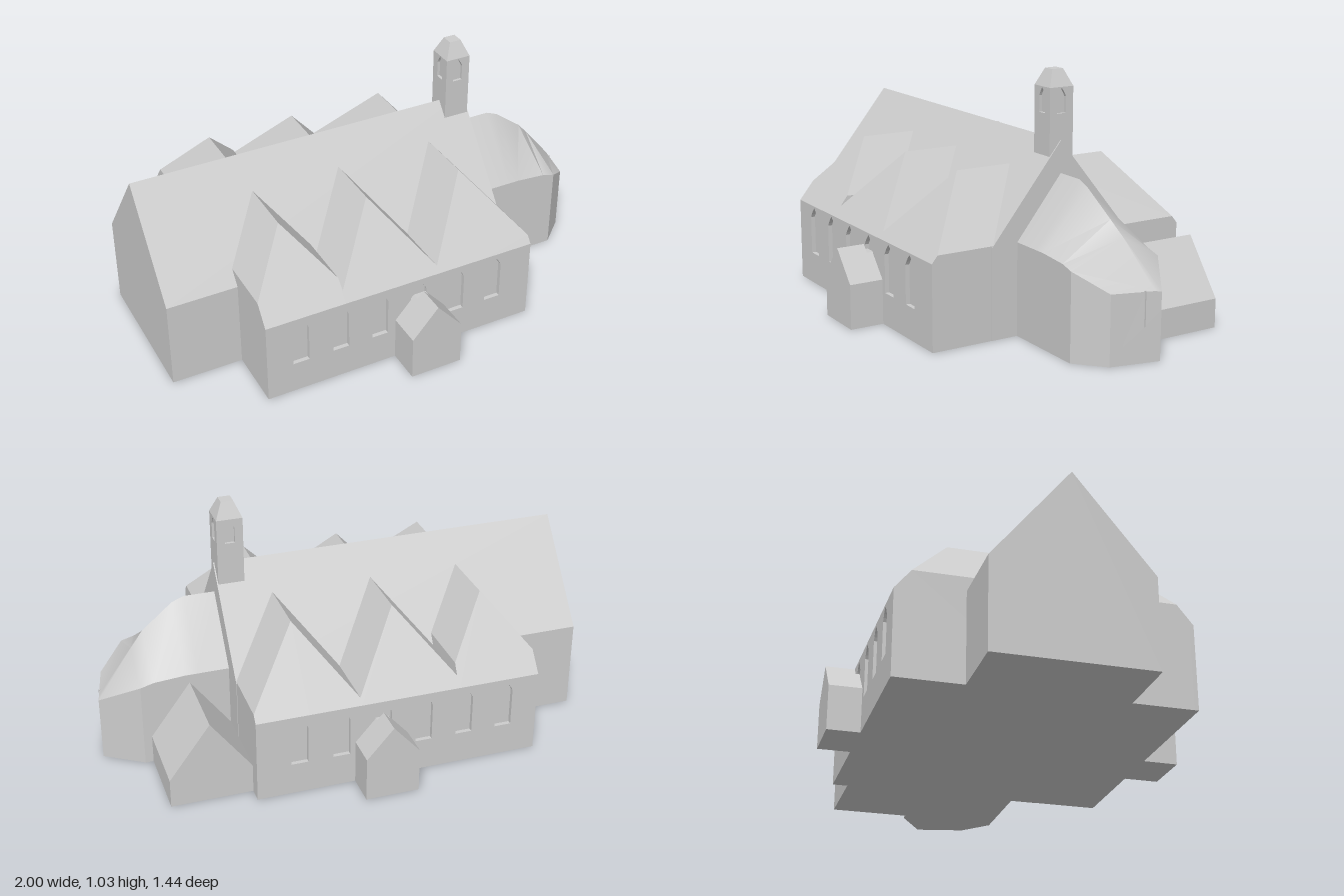
import * as THREE from 'three';
import { toCreasedNormals } from 'three/addons/utils/BufferGeometryUtils.js';

// Skin a list of equal-length loops of [x, y, z], running towards +x, and cap both ends.
function loft(sections, crease = 0.01) {
  const pos = [];
  const tri = (a, b, c) => pos.push(...a, ...b, ...c);
  const n = sections[0].length;
  for (let i = 0; i < sections.length - 1; i++) {
    const s = sections[i], t = sections[i + 1];
    for (let j = 0; j < n; j++) {
      const k = (j + 1) % n;
      tri(s[j], t[j], t[k]);
      tri(s[j], t[k], s[k]);
    }
  }
  const first = sections[0], last = sections[sections.length - 1];
  for (let j = 1; j < n - 1; j++) {
    tri(first[0], first[j], first[j + 1]);
    tri(last[0], last[j + 1], last[j]);
  }
  const g = new THREE.BufferGeometry();
  g.setAttribute('position', new THREE.Float32BufferAttribute(pos, 3));
  return toCreasedNormals(g, crease);
}

const polygon = pts => new THREE.Shape(pts.map(p => new THREE.Vector2(...p)));

function extrude(shape, z0, z1) {
  return new THREE.ExtrudeGeometry(shape, { depth: z1 - z0, bevelEnabled: false, curveSegments: 4 })
    .translate(0, 0, z0);
}

// Gabled outline, with the peak cut off at height cut
function gable(cx, half, eave, ridge, cut = ridge) {
  const t = half * (ridge - cut) / (ridge - eave);
  const top = t > 0 ? [[cx + t, cut], [cx - t, cut]] : [[cx, ridge]];
  return polygon([[cx - half, 0], [cx + half, 0], [cx + half, eave], ...top, [cx - half, eave]]);
}

// Pointed-arch opening
function lancet(cx, half, bottom, shoulder, peak) {
  const p = new THREE.Path();
  const mid = (shoulder + peak) / 2 + (peak - shoulder) * 0.08;
  p.moveTo(cx - half, bottom);
  p.lineTo(cx + half, bottom);
  p.lineTo(cx + half, shoulder);
  p.quadraticCurveTo(cx + half * 0.62, mid, cx, peak);
  p.quadraticCurveTo(cx - half * 0.62, mid, cx - half, shoulder);
  p.closePath();
  return p;
}

export function createModel() {
  const model = new THREE.Group();
  model.name = 'church';
  const stone = new THREE.MeshStandardMaterial({ color: 0xcccccc });
  stone.name = 'pale grey stone';
  const add = (name, geometry, parent = model) => {
    const m = new THREE.Mesh(geometry, stone);
    m.name = name;
    parent.add(m);
    return m;
  };

  // Nave with a steep roof
  const RIDGE = 0.76, PITCH = 1.23;
  const naveAt = x => [[x, 0, 0.315], [x, 0.372, 0.315], [x, RIDGE, 0], [x, 0.372, -0.315], [x, 0, -0.315]];
  add('nave', loft([naveAt(-1), naveAt(0.482)]));

  // Aisles with three hipped cross gables, a window wall and a porch on each side
  const X0 = -0.705, X1 = 0.48, EAVE = 0.35;
  const zigzag = [[X0, 0.43], [-0.535, 0.64], [-0.365, 0.43], [-0.362, 0.39],
    [-0.155, 0.64], [0.05, 0.375], [0.265, 0.64], [X1, 0.38]];
  for (const side of [1, -1]) {
    const label = side > 0 ? 'front' : 'back';
    const outer = side > 0 ? 0.577 : 0.587;
    const inner = outer - 0.018;

    const sections = zigzag.map(([x, y]) => {
      const loop = [[0, 0], [0, inner], [EAVE, inner], [EAVE, outer],
        [y, outer - (y - EAVE) / PITCH], [y, 0]].map(([h, z]) => [x, h, z * side]);
      return side > 0 ? loop : [loop[0], ...loop.slice(1).reverse()];
    });
    add(label + 'Aisle', loft(sections));

    const wall = polygon([[X0, 0], [X1, 0], [X1, EAVE], [X0, EAVE]]);
    for (let i = 0; i < 6; i++) {
      wall.holes.push(lancet(-0.56 + i * 0.173, 0.035, 0.135, 0.295, 0.342));
    }
    const span = (a, b) => side > 0 ? [a, b] : [-b, -a];
    add(label + 'WindowWall', extrude(wall, ...span(inner, outer)));

    add(label + 'Porch', extrude(gable(-0.035, 0.11, 0.185, 0.31), ...span(0.602, 0.72)));
    add(label + 'PorchNeck', extrude(gable(-0.035, 0.11, 0.185, 0.31, 0.28), ...span(outer - 0.005, 0.602)));
  }

  // Chancel ending in a skewed, sloping apse
  const chancelAt = (x, eave, ridge, zr) =>
    [[x, 0, 0.2], [x, eave, 0.2], [x, ridge, zr], [x, eave, -0.2], [x, 0, -0.2]];
  add('chancel', loft([
    chancelAt(0.47, 0.38, 0.63, 0),
    chancelAt(0.61, 0.38, 0.63, 0),
    chancelAt(0.66, 0.38, 0.61, 0),
    chancelAt(0.79, 0.37, 0.51, -0.015),
    chancelAt(0.845, 0.355, 0.45, -0.035),
    [[0.955, 0, 0.1], [0.955, 0.28, 0.1], [0.994, 0.275, -0.075], [1, 0.27, -0.1], [1, 0, -0.1]],
  ], 0.55));

  // Narrow slit on the end wall of the apse
  const slit = add('apseSlit', new THREE.BoxGeometry(0.006, 0.14, 0.006));
  slit.position.set(0.984, 0.21, -0.035);
  slit.rotation.y = 0.22;

  // Low gabled vestry behind the chancel
  add('vestry', extrude(gable(0.645, 0.167, 0.12, 0.345), -0.525, -0.1));

  // Bell tower with a recessed opening on each face and a blunt cap
  const tower = new THREE.Group();
  tower.name = 'bellTower';
  tower.position.set(0.423, 0, -0.004);
  model.add(tower);
  const H = 0.054, T = 0.012, BASE = 0.5, TOP = 0.968;
  add('towerCore', new THREE.BoxGeometry(2 * (H - T), TOP - BASE, 2 * (H - T))
    .translate(0, (TOP + BASE) / 2, 0), tower);
  for (let i = 0; i < 4; i++) {
    const w = i % 2 ? H - T : H;
    const face = polygon([[-w, BASE], [w, BASE], [w, TOP], [-w, TOP]]);
    face.holes.push(lancet(0, 0.02, 0.865, 0.93, 0.964));
    add('towerFace', extrude(face, H - T, H).rotateY(i * Math.PI / 2), tower);
  }
  const cap = new THREE.CylinderGeometry(0.025 * Math.SQRT2, H * Math.SQRT2, 1.035 - TOP, 4)
    .rotateY(Math.PI / 4).translate(0, (1.035 + TOP) / 2, 0);
  add('towerCap', toCreasedNormals(cap, 0.3), tower);

  return model;
}
